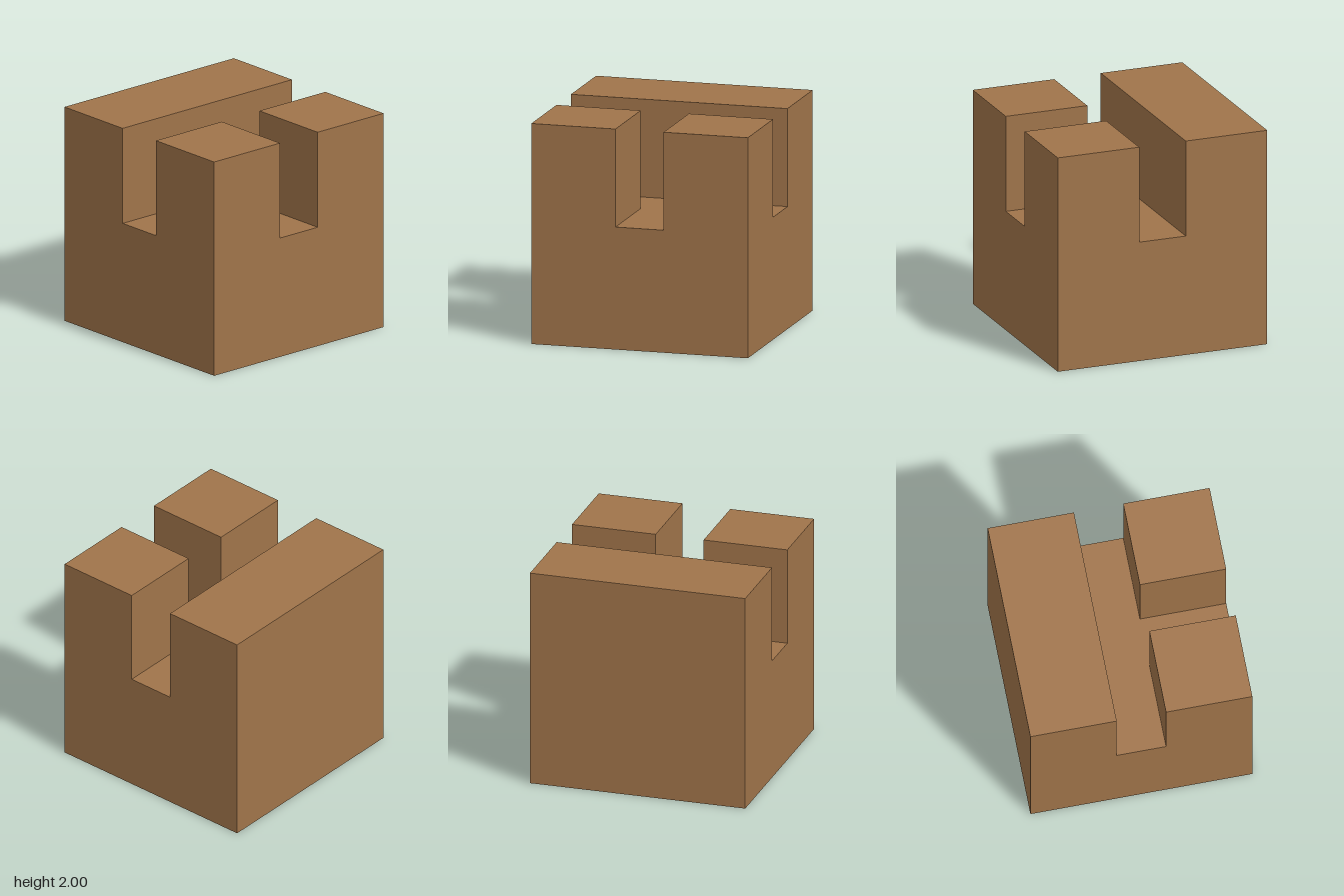
import * as THREE from 'three';
import { mergeGeometries } from 'three/addons/utils/BufferGeometryUtils.js';

const S = 2 / 9;   // half width of the slots
const F = 10 / 9;  // height of the slot floor
const H = 2;       // full height

// In-plane axes (u, v) for each facing; the outward normal is u x v
const AXES = {
  front: [[1, 0, 0], [0, 1, 0]],
  back: [[-1, 0, 0], [0, 1, 0]],
  right: [[0, 0, -1], [0, 1, 0]],
  left: [[0, 0, 1], [0, 1, 0]],
  top: [[1, 0, 0], [0, 0, -1]],
  bottom: [[1, 0, 0], [0, 0, 1]],
};

// Flat polygon facing a direction, moved along its normal by offset
function panel(facing, offset, points) {
  const [u, v] = AXES[facing].map((a) => new THREE.Vector3(...a));
  const n = u.clone().cross(v);
  const matrix = new THREE.Matrix4().makeBasis(u, v, n).setPosition(n.clone().multiplyScalar(offset));
  const shape = new THREE.Shape(points.map(([x, y]) => new THREE.Vector2(x, y)));
  return new THREE.ShapeGeometry(shape).applyMatrix4(matrix);
}

const rect = (u0, v0, u1, v1) => [[u0, v0], [u1, v0], [u1, v1], [u0, v1]];

export function createModel() {
  const group = new THREE.Group();
  group.name = 'slottedBlock';

  const notched = [[-1, 0], [1, 0], [1, H], [S, H], [S, F], [-S, F], [-S, H], [-1, H]];
  const teeFloor = [[-S, -1], [S, -1], [S, -S], [1, -S], [1, S], [S, S], [S, 1], [-S, 1]];

  const panels = [
    // outer sides: three open onto a slot, the fourth is plain
    ...['front', 'back', 'right'].map((side) => panel(side, 1, notched)),
    panel('left', 1, rect(-1, 0, 1, H)),
    panel('bottom', 0, rect(-1, -1, 1, 1)),
    // T-shaped slot floor
    panel('top', F, teeFloor),
    // long wall: top and inner side
    panel('top', H, rect(-1, -1, -S, 1)),
    panel('right', -S, rect(-1, F, 1, H)),
    // two square posts: tops and sides toward the long slot
    ...[[-1, -S], [S, 1]].flatMap(([a, b]) => [
      panel('top', H, rect(S, a, 1, b)),
      panel('left', -S, rect(a, F, b, H)),
    ]),
    // post sides toward the short slot
    panel('front', -S, rect(S, F, 1, H)),
    panel('back', -S, rect(-1, F, -S, H)),
  ];

  const block = new THREE.Mesh(
    mergeGeometries(panels),
    new THREE.MeshStandardMaterial({ color: 0xa0744a }),
  );
  block.name = 'block';
  group.add(block);
  return group;
}
